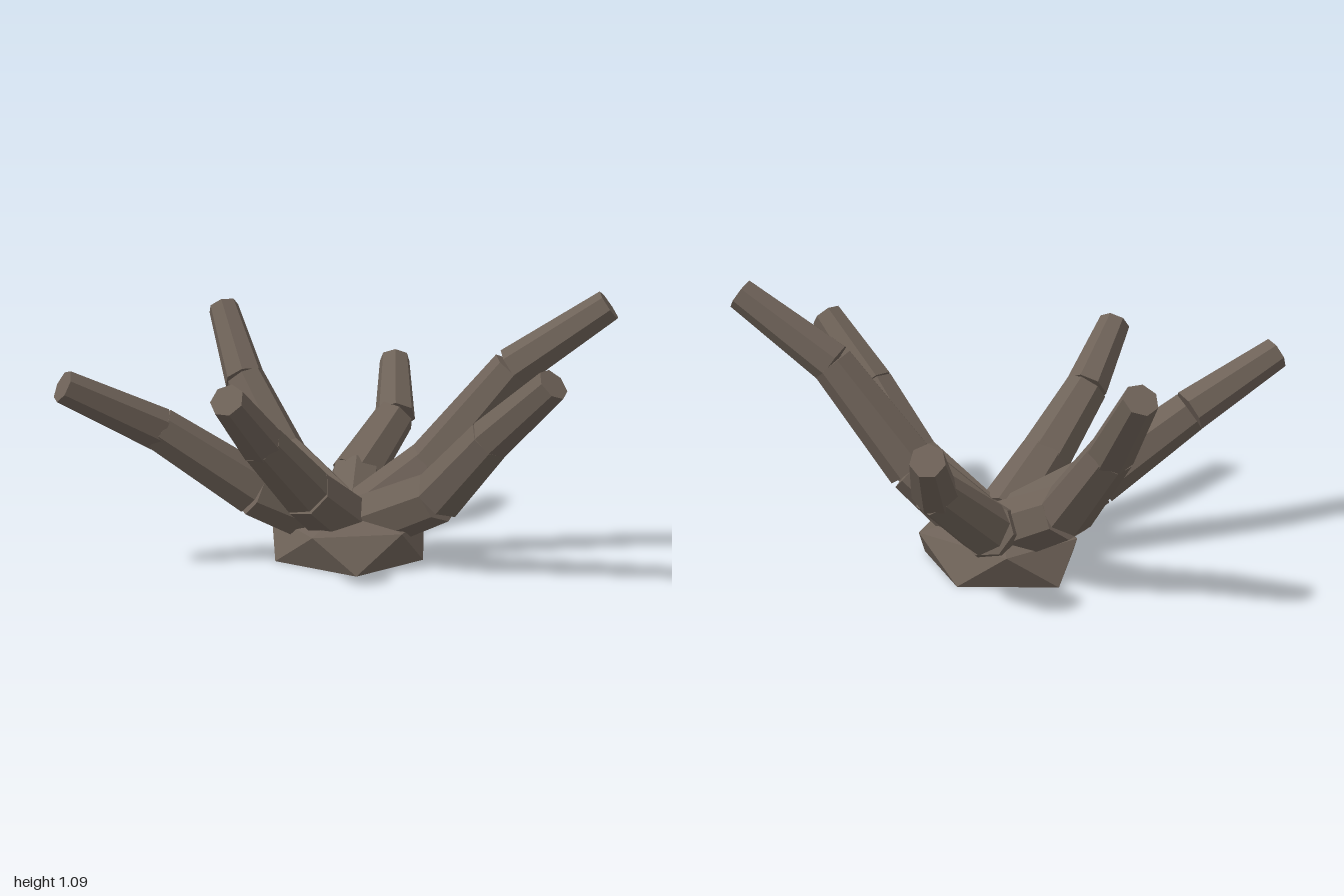
import * as THREE from 'three';
import { ConvexGeometry } from 'three/addons/geometries/ConvexGeometry.js';

const UP = new THREE.Vector3(0, 1, 0);
const SIDES = 7;
const RADII = [0.125, 0.108, 0.088, 0.066]; // root, first joint, second joint, tip

// One branch: three straight tapered pieces between root, two joints and tip
function makeBranch(name, points, material) {
  const branch = new THREE.Group();
  branch.name = name;
  const pts = points.map((p) => new THREE.Vector3(...p));
  for (let i = 0; i < 3; i++) {
    const dir = pts[i + 1].clone().sub(pts[i]);
    const segment = new THREE.Mesh(
      new THREE.CylinderGeometry(RADII[i + 1], RADII[i], dir.length(), SIDES), material);
    segment.name = ['lowerSegment', 'middleSegment', 'tipSegment'][i];
    segment.position.copy(pts[i]).addScaledVector(dir, 0.5);
    segment.quaternion.setFromUnitVectors(UP, dir.normalize());
    branch.add(segment);
  }
  return branch;
}

export function createModel() {
  const model = new THREE.Group();
  model.name = 'branchingStump';
  const bark = new THREE.MeshStandardMaterial({ color: 0x6e6258, flatShading: true });
  bark.name = 'greyBrownBark';

  // Faceted foot: pentagon below, turned pentagon above, low peak
  const foot = [
    [-0.13, 0, 0.10], [0.26, 0, 0.0], [0.22, 0, -0.38], [-0.15, 0, -0.48], [-0.39, 0, -0.17],
    [0.11, 0.14, 0.10], [0.31, 0.15, -0.19], [0.11, 0.14, -0.48], [-0.31, 0.14, -0.36], [-0.31, 0.14, -0.02],
    [-0.03, 0.22, -0.2],
  ].map((p) => new THREE.Vector3(...p));
  const base = new THREE.Mesh(new ConvexGeometry(foot), bark);
  base.name = 'base';
  model.add(base);

  // Branches as root, first joint, second joint, tip
  const branches = {
    backLeftBranch: [[-0.01, 0.14, -0.25], [0.2, 0.38, -0.44], [0.45, 0.78, -0.64], [0.73, 1.04, -0.88]],
    backRightBranch: [[-0.06, 0.14, -0.23], [-0.26, 0.26, -0.42], [-0.31, 0.48, -0.68], [-0.49, 0.69, -0.83]],
    rightBranch: [[-0.06, 0.13, -0.2], [-0.46, 0.34, -0.19], [-0.71, 0.64, -0.18], [-0.945, 0.92, -0.24]],
    leftBranch: [[0.0, 0.13, -0.24], [0.41, 0.31, -0.29], [0.67, 0.57, -0.32], [0.95, 0.81, -0.365]],
    frontRightBranch: [[-0.06, 0.15, -0.13], [-0.17, 0.3, 0.18], [-0.33, 0.56, 0.52], [-0.42, 0.755, 0.895]],
    frontLeftBranch: [[0.0, 0.16, -0.14], [0.09, 0.33, 0.12], [0.15, 0.56, 0.38], [0.275, 0.765, 0.625]],
  };
  for (const [name, points] of Object.entries(branches)) model.add(makeBranch(name, points, bark));
  return model;
}
